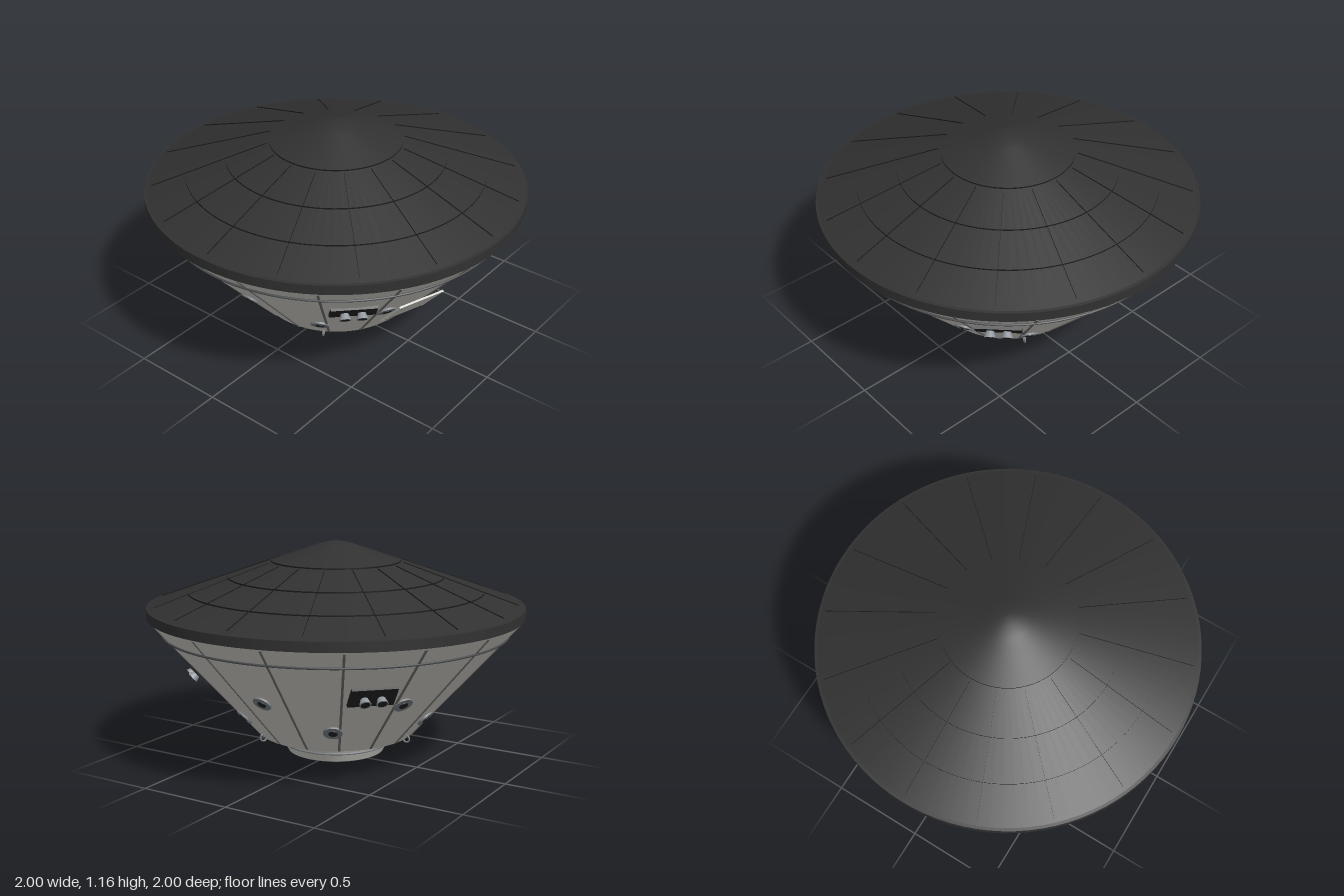
import * as THREE from 'three';

const mat = (name, color, double) => {
  const m = new THREE.MeshStandardMaterial({ color });
  m.name = name;
  if (double) m.side = THREE.DoubleSide;
  return m;
};
const rad = THREE.MathUtils.degToRad;
const SEG = 96;
const SLOPE = 0.895;                                   // back shell: radius gained per unit height
const shellR = y => 0.42 + SLOPE * (y - 0.14);
const SHELL_TILT = Math.atan(SLOPE);
const SHIELD = 0.352;                                  // heat shield: height lost per unit radius
const shieldY = r => 1.06 - SHIELD * (r - 0.345);

export function createModel() {
  const model = new THREE.Group();
  model.name = 'entryCapsule';
  const shell = mat('shellGrey', 0xcdccc6, true);
  const charcoal = mat('shieldCharcoal', 0x313131);
  const seam = mat('shellSeam', 0x6e6e6a);
  const shieldSeam = mat('shieldSeam', 0x1a1a1a);
  const black = mat('panelBlack', 0x222224);
  const steel = mat('steelGrey', 0x7a7f84);
  const nozzleGrey = mat('nozzleGrey', 0x8f969c);
  const base = mat('baseDark', 0x62666a);
  const trim = mat('trimDark', 0x4a4c4e);

  const add = (parent, name, geo, m, x = 0, y = 0, z = 0) => {
    const mesh = new THREE.Mesh(geo, m);
    mesh.name = name;
    mesh.position.set(x, y, z);
    parent.add(mesh);
    return mesh;
  };
  // Lathe built in straight runs so that the edges between runs stay sharp
  const lathe = (name, m, ...runs) => {
    const g = new THREE.Group();
    g.name = name;
    for (const run of runs)
      add(g, name + 'Surface', new THREE.LatheGeometry(run.map(p => new THREE.Vector2(...p)), SEG), m);
    model.add(g);
  };
  const ring = (name, r, tube, y, m) => {
    add(model, name, new THREE.TorusGeometry(r, tube, 8, SEG), m, 0, y, 0).rotation.x = Math.PI / 2;
  };
  // Frame on a cone: local z points outward, local y runs up the slope
  const mount = (name, azimuth, r, y, tilt) => {
    const g = new THREE.Group(), a = rad(azimuth);
    g.name = name;
    g.position.set(r * Math.sin(a), y, r * Math.cos(a));
    g.rotation.set(tilt, a, 0, 'YXZ');
    model.add(g);
    return g;
  };
  const onShell = (name, azimuth, y) => mount(name, azimuth, shellR(y), y, SHELL_TILT);
  // Cylinder whose axis lies along local z
  const disc = (parent, name, r0, r1, depth, m, x, y, z, sides = 24) => {
    const d = add(parent, name, new THREE.CylinderGeometry(r1, r0, depth, sides), m, x, y, z);
    d.rotation.x = Math.PI / 2;
  };

  // Heat shield: underside, rim and shallow cone with a rounded tip
  lathe('heatShield', charcoal,
    [[0, 0.782], [1, 0.782]],
    [[1, 0.782], [1, 0.832]],
    [[1, 0.832], [0.985, shieldY(0.985)]],
    [[0.985, shieldY(0.985)], [0.345, 1.06], [0.11, 1.143], [0.085, 1.151], [0.055, 1.159], [0.025, 1.164], [0, 1.165]]);
  // Tile joints: upright hairline bands and fins, seen only from the side
  for (const r of [0.345, 0.575, 0.785])
    add(model, 'shieldRingJoint', new THREE.CylinderGeometry(r, r, 0.014, SEG, 1, true), shieldSeam, 0, shieldY(r), 0);
  for (let i = 0; i < 16; i++) {
    const g = mount('shieldRadialJoint', i * 22.5, 0.66, shieldY(0.66), -Math.atan(1 / SHIELD));
    add(g, 'shieldJointFin', new THREE.BoxGeometry(0.0015, 0.64, 0.01), shieldSeam);
  }

  // Back shell, open at the bottom
  lathe('backShell', shell, [[0.417, 0.137], [shellR(0.782), 0.782]]);
  for (let i = 0; i < 16; i++) {
    const g = onShell('shellSeam', 11.25 + i * 22.5, 0.46);
    add(g, 'shellSeamStrip', new THREE.BoxGeometry(0.012, 0.85, 0.009), seam);
  }
  ring('shellBand', shellR(0.69) + 0.007, 0.006, 0.69, trim);

  // Stepped lower cone and its dark base
  lathe('lowerCone', shell, [[0.26, 0.03], [0.32, 0.14]], [[0.32, 0.14], [0, 0.14]]);
  ring('lowerConeBand', 0.289, 0.006, 0.08, steel);
  lathe('basePlate', base, [[0.13, 0.029], [0.26, 0.029]], [[0.26, 0.029], [0.261, 0.033]]);
  lathe('baseHub', base, [[0, 0], [0.132, 0]], [[0.132, 0], [0.147, 0.03]]);

  // Four thruster panels, each with a pair of nozzles
  for (let i = 0; i < 4; i++) {
    const g = onShell('thrusterPanel', 45 + i * 90, 0.51);
    add(g, 'panelPlate', new THREE.BoxGeometry(0.23, 0.138, 0.02), black);
    for (const s of [-1, 1]) {
      disc(g, 'nozzle', 0.018, 0.03, 0.036, nozzleGrey, s * 0.042, -0.008, 0.024);
      disc(g, 'nozzleMouth', 0.023, 0.023, 0.004, black, s * 0.042, -0.008, 0.041);
    }
  }

  // Two staggered rows of round ports
  for (let i = 0; i < 6; i++)
    for (const [azimuth, y] of [[i * 60, 0.437], [30 + i * 60, 0.275]]) {
      const g = onShell('port', azimuth, y);
      disc(g, 'portFlange', 0.05, 0.049, 0.014, steel, 0, 0, 0.002, 16);
      disc(g, 'portHole', 0.024, 0.023, 0.006, black, 0, 0, 0.009, 16);
    }

  // Access hatch with corner rivets
  const hatch = onShell('accessHatch', 72, 0.43);
  add(hatch, 'hatchPlate', new THREE.BoxGeometry(0.27, 0.23, 0.01), shell, 0, 0, 0.015);
  for (const sx of [-1, 1])
    for (const sy of [-1, 1])
      disc(hatch, 'hatchRivet', 0.007, 0.007, 0.006, seam, sx * 0.11, sy * 0.092, 0.021, 10);

  // Three lifting eyes on the lower edge
  for (const azimuth of [30, 150, 270]) {
    const g = mount('liftingEye', azimuth, 0.435, 0.146, 0);
    add(g, 'eyeRing', new THREE.TorusGeometry(0.018, 0.005, 8, 20), steel).rotation.y = Math.PI / 2;
  }
  return model;
}
